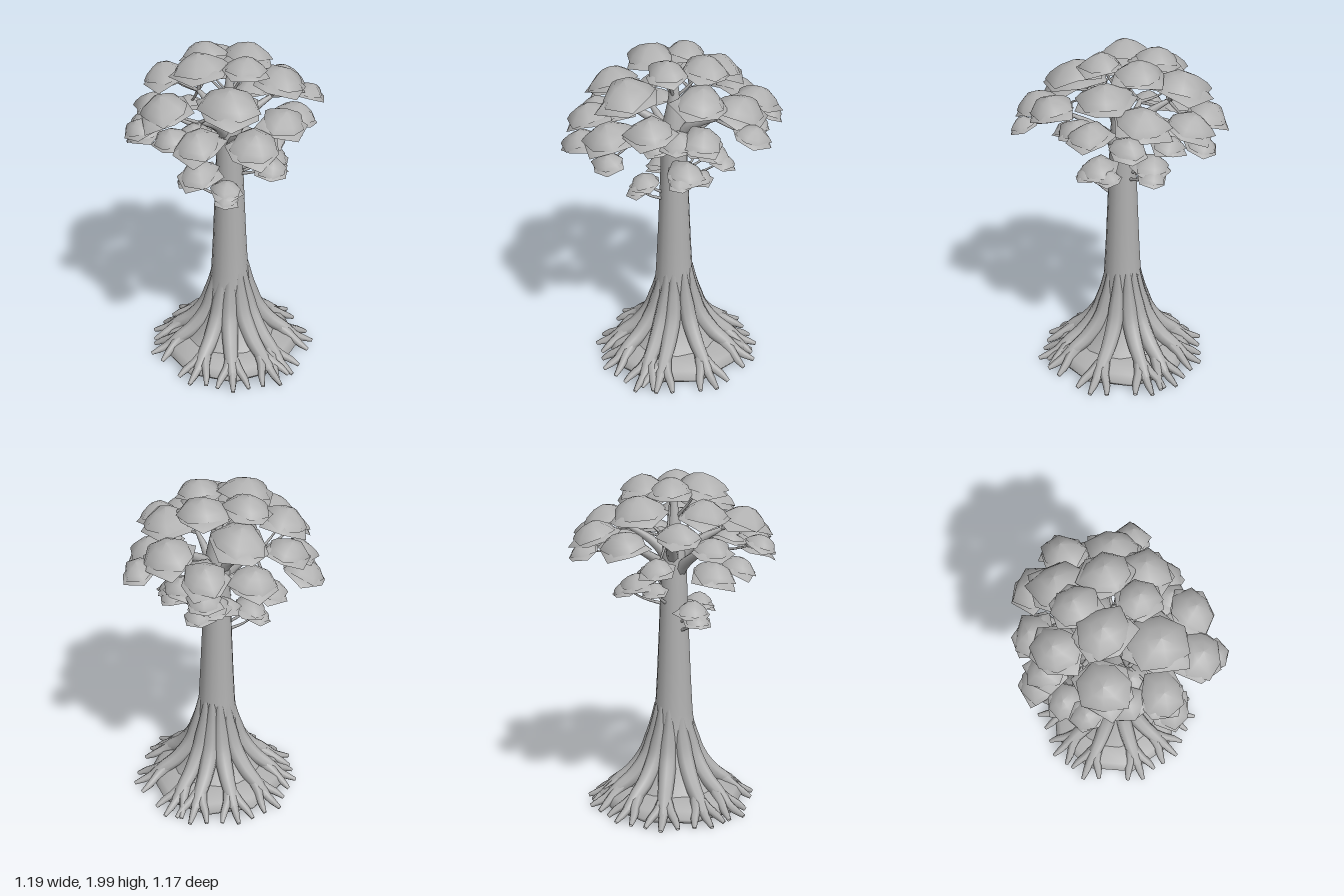
import * as THREE from 'three';
import { mergeGeometries } from 'three/addons/utils/BufferGeometryUtils.js';

const grey = new THREE.MeshStandardMaterial({ color: 0xb0b0b0, side: THREE.DoubleSide });
grey.name = 'plain grey';

const V = (x, y, z) => new THREE.Vector3(x, y, z);

// Small seeded random generator
function makeRandom(seed) {
  return () => {
    seed = (seed * 16807) % 2147483647;
    return seed / 2147483647;
  };
}

// Tube along a smooth path whose radius follows a list of values
function taperedTube(points, radii, steps, sides) {
  const curve = new THREE.CatmullRomCurve3(points);
  const geo = new THREE.TubeGeometry(curve, steps, 1, sides, false);
  const pos = geo.attributes.position;
  const p = V(0, 0, 0);
  for (let i = 0; i <= steps; i++) {
    const centre = curve.getPointAt(i / steps);
    const f = (i / steps) * (radii.length - 1);
    const k = Math.min(Math.floor(f), radii.length - 2);
    const r = THREE.MathUtils.lerp(radii[k], radii[k + 1], f - k);
    for (let j = 0; j <= sides; j++) {
      const n = i * (sides + 1) + j;
      p.fromBufferAttribute(pos, n).sub(centre).multiplyScalar(r).add(centre);
      pos.setXYZ(n, p.x, Math.max(p.y, 0.004), p.z);
    }
  }
  return geo;
}

function lathe(profile, sides) {
  return new THREE.LatheGeometry(profile.map(([r, y]) => new THREE.Vector2(r, y)), sides);
}

// Bends a round shell into an uneven polygon with a wavy edge
function roughen(geo, seed) {
  const pos = geo.attributes.position;
  for (let i = 0; i < pos.count; i++) {
    const x = pos.getX(i), y = pos.getY(i), z = pos.getZ(i);
    const a = Math.atan2(x, z);
    const d = Math.hypot(x, z);
    const s = 1 + 0.1 * Math.sin(2 * a + seed) + 0.08 * Math.sin(3 * a + seed * 2.3);
    pos.setXYZ(i, x * s, y + 0.1 * d * d * Math.sin(3 * a + seed * 1.7), z * s);
  }
  return geo;
}

// Leaf clump: smooth peaked cap with a hollow underside, over a wider ragged skirt
function clumpGeometry(r, seed) {
  const cap = mergeGeometries([
    lathe([[0.97, 0.02], [0.78, 0.25], [0.42, 0.49], [0, 0.61]], 7),
    lathe([[0, 0.12], [0.97, 0.02]], 7),
  ]);
  const skirt = lathe([[1.1, -0.16], [0.8, 0.08], [0, 0.16]], 6).rotateY(seed);
  return mergeGeometries([roughen(cap, seed), roughen(skirt, seed + 1)]).scale(r, r, r);
}

// Leaf clumps: x, y, z, radius
const crownClumps = [
  [-0.16, 1.91, -0.10, 0.15], [0.00, 1.92, 0.10, 0.12], [0.17, 1.90, -0.06, 0.14], [0.00, 1.91, -0.23, 0.13],
  [-0.20, 1.79, 0.18, 0.17], [0.21, 1.80, 0.15, 0.15], [0.17, 1.80, -0.31, 0.16], [-0.19, 1.80, -0.35, 0.14],
  [-0.40, 1.73, -0.12, 0.15], [0.39, 1.71, 0.00, 0.15], [0.42, 1.67, -0.27, 0.13], [0.50, 1.63, 0.12, 0.10],
  [0.00, 1.70, 0.39, 0.13], [-0.23, 1.64, 0.40, 0.14], [-0.43, 1.64, 0.18, 0.13], [-0.47, 1.50, 0.23, 0.11],
  [-0.20, 1.54, 0.50, 0.085], [-0.06, 1.70, -0.47, 0.12], [0.24, 1.64, -0.45, 0.13], [-0.25, 1.49, -0.46, 0.12],
  [-0.38, 1.51, -0.33, 0.10], [-0.50, 1.62, -0.22, 0.09], [-0.46, 1.62, 0.00, 0.10], [0.48, 1.58, -0.31, 0.09],
  [0.25, 1.62, 0.25, 0.12], [0.45, 1.59, -0.13, 0.09], [0.06, 1.51, -0.44, 0.10], [-0.24, 1.62, -0.42, 0.11],
  [0.13, 1.61, 0.29, 0.10], [0.01, 1.57, 0.30, 0.08], [-0.32, 1.61, 0.03, 0.10], [0.30, 1.62, -0.16, 0.11],
];
const lowClumps = [
  [0.13, 1.36, 0.16, 0.11], [0.20, 1.36, -0.13, 0.11], [0.27, 1.32, -0.11, 0.08], [0.10, 1.33, -0.17, 0.08],
  [0.12, 1.33, 0.22, 0.07], [0.21, 1.33, 0.13, 0.07], [-0.14, 1.22, 0.09, 0.09], [-0.17, 1.18, 0.12, 0.07],
  [-0.12, 1.22, -0.18, 0.10], [-0.15, 1.17, -0.21, 0.08],
];

export function createModel() {
  const tree = new THREE.Group();
  tree.name = 'tree';
  const axisZ = -0.03;
  const rnd = makeRandom(77);

  function add(geo, name, parent = tree) {
    const mesh = new THREE.Mesh(geo, grey);
    mesh.name = name;
    parent.add(mesh);
    return mesh;
  }
  function addGroup(name) {
    const g = new THREE.Group();
    g.name = name;
    tree.add(g);
    return g;
  }

  // Trunk flaring out at the foot
  const trunk = add(lathe([[0.32, 0.07], [0.25, 0.15], [0.19, 0.24], [0.15, 0.35], [0.126, 0.46], [0.112, 0.58],
    [0.1, 0.8], [0.089, 1.05], [0.079, 1.3], [0.074, 1.48], [0.064, 1.58], [0.038, 1.7], [0.015, 1.86], [0, 1.88]], 16), 'trunk');
  trunk.position.z = axisZ;

  // Low earth mound between the roots, slightly hollow underneath
  const mound = add(lathe([[0, 0.06], [0.41, 0.02], [0.425, 0.045], [0.39, 0.085], [0.29, 0.125], [0, 0.16]], 9), 'earthMound');
  mound.position.z = axisZ;

  // Buttress roots, each splitting into three spreading toes
  const roots = addGroup('roots');
  roots.position.set(0.01, 0, axisZ);
  const rootCount = 11;
  for (let i = 0; i < rootCount; i++) {
    const a = ((i + 0.5 + (rnd() - 0.5) * 0.4) / rootCount) * Math.PI * 2;
    const bend = (rnd() - 0.5) * 0.25;
    const reach = 0.99 + rnd() * 0.05;
    const at = (r, y, da = 0) => V(Math.sin(a + da) * r * reach, y, Math.cos(a + da) * r * reach);
    add(taperedTube([at(0.085, 0.62), at(0.105, 0.46), at(0.15, 0.31), at(0.24, 0.19, bend * 0.5),
      at(0.33, 0.12, bend * 0.8), at(0.4, 0.06, bend)],
    [0.02, 0.036, 0.05, 0.052, 0.048, 0.042, 0.03], 18, 8), 'root', roots);
    for (const side of [-1, 0, 1]) {
      const end = (side ? 0.47 : 0.5) + rnd() * 0.015;
      add(taperedTube([at(0.29, 0.14, bend * 0.7), at(0.36, 0.095, bend + side * 0.08),
        at(0.43, 0.05, bend + side * 0.17), at(end, 0.018, bend + side * 0.2)],
      [0.034, 0.034, 0.027, 0.023, 0.012], 8, 6), 'rootToe', roots);
    }
  }

  // Main limbs spreading from the top of the trunk
  const limbs = addGroup('limbs');
  const limbCurves = [];
  for (let i = 0; i < 7; i++) {
    const a = (i / 7) * Math.PI * 2 + 0.4;
    const lift = (i % 2) * 0.08;
    const at = (r, y) => V(Math.sin(a) * r, y + lift, Math.cos(a) * r + axisZ);
    const pts = [at(0.02, 1.4), at(0.09, 1.48), at(0.18, 1.54), at(0.29, 1.59)];
    limbCurves.push(new THREE.CatmullRomCurve3(pts));
    add(taperedTube(pts, [0.04, 0.032, 0.022, 0.011], 10, 7), 'limb', limbs);
  }
  const crownStart = V(0, 1.72, axisZ);

  // Leaf clump, tilted outwards, with the twig that carries it
  const foliage = addGroup('foliage');
  const twigs = addGroup('twigs');
  function addClump([x, y, z, r], index, from, tilt) {
    const clump = add(clumpGeometry(r, index * 1.9), 'leafClump', foliage);
    clump.position.set(x, y, z);
    clump.quaternion.setFromUnitVectors(V(0, 1, 0), V(x * tilt, 1, z * tilt).normalize());
    clump.rotateY(index * 0.8);
    const to = V(x, y + r * 0.15, z);
    const mid = from.clone().lerp(to, 0.55);
    mid.y -= 0.015;
    add(taperedTube([from, mid, to], [0.011, 0.007, 0.004], 6, 5), 'twig', twigs);
  }
  crownClumps.forEach((c, i) => {
    const target = V(c[0], c[1], c[2]);
    let from = crownStart;
    for (const curve of limbCurves) {
      for (const t of [0.6, 0.95]) {
        const p = curve.getPointAt(t);
        if (p.distanceTo(target) < from.distanceTo(target)) from = p;
      }
    }
    addClump(c, i, from, 0.65);
  });
  lowClumps.forEach((c, i) => {
    const d = V(c[0], 0, c[2] - axisZ).setLength(0.065);
    addClump(c, i + 40, V(d.x, c[1] - 0.09, d.z + axisZ), 0.9);
  });

  return tree;
}
